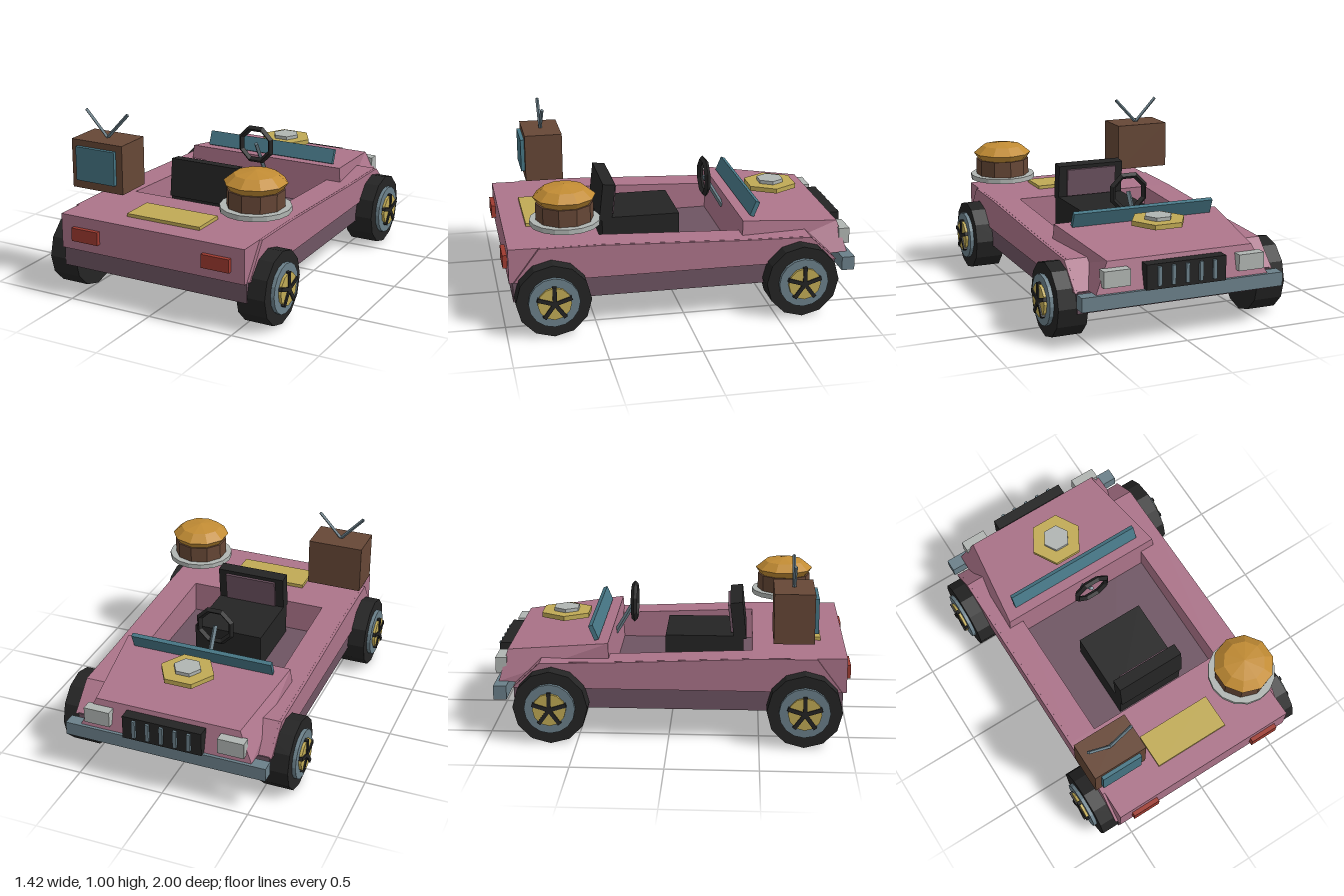
import * as THREE from 'three';

const mat = (name, color) => {
  const m = new THREE.MeshStandardMaterial({ color });
  m.name = name;
  return m;
};

export function createModel() {
  const pink = mat('pink', 0xac748a), mauve = mat('mauve', 0x6e5462), black = mat('black', 0x242424);
  const steel = mat('steel', 0x6b808a), gold = mat('gold', 0xc0aa55), silver = mat('silver', 0xb0b5b2);
  const teal = mat('teal', 0x467685), brown = mat('brown', 0x664736), bun = mat('bun', 0xc28c34), red = mat('red', 0x9f3b30);

  const car = new THREE.Group();
  car.name = 'car';

  // Faceted mesh
  const add = (name, geo, material, pos = [0, 0, 0], parent = car) => {
    const g = geo.index ? geo.toNonIndexed() : geo;
    g.computeVertexNormals();
    const m = new THREE.Mesh(g, material);
    m.name = name;
    m.position.set(...pos);
    parent.add(m);
    return m;
  };
  // Box from its limits on each axis
  const box = (name, material, [x0, x1], [y0, y1], [z0, z1], parent = car) =>
    add(name, new THREE.BoxGeometry(x1 - x0, y1 - y0, z1 - z0), material,
      [(x0 + x1) / 2, (y0 + y1) / 2, (z0 + z1) / 2], parent);
  // Side profile of [z, y] points, extruded from x0 to x1
  const slab = (name, material, pts, x0, x1) => {
    const s = new THREE.Shape(pts.map(p => new THREE.Vector2(...p)));
    const g = new THREE.ExtrudeGeometry(s, { depth: x1 - x0, bevelEnabled: false });
    g.rotateY(-Math.PI / 2);
    return add(name, g, material, [x1, 0, 0]);
  };
  // Thin bar between two points
  const bar = (name, material, a, b, r, parent = car) => {
    const p = new THREE.Vector3(...a), d = new THREE.Vector3(...b).sub(p);
    const m = add(name, new THREE.CylinderGeometry(r, r, d.length(), 4), material,
      p.clone().addScaledVector(d, 0.5).toArray(), parent);
    m.quaternion.setFromUnitVectors(new THREE.Vector3(0, 1, 0), d.normalize());
    return m;
  };

  // Body
  box('chassis', mauve, [-0.565, 0.565], [0.175, 0.29], [-0.855, 0.955]);
  slab('rearDeck', pink, [[0.975, 0.285], [0.975, 0.48], [0.46, 0.475], [0.46, 0.285]], -0.565, 0.565);
  const side = [[0.46, 0.285], [0.46, 0.475], [-0.33, 0.442], [-0.71, 0.432], [-0.855, 0.295]];
  const fender = [[0.95, 0.29], [0.81, 0.478], [0.46, 0.474], [-0.33, 0.441], [-0.71, 0.431], [-0.86, 0.29]];
  slab('leftSide', pink, side, 0.415, 0.565);
  slab('rightSide', pink, side, -0.565, -0.415);
  slab('leftFender', pink, fender, 0.565, 0.58);
  slab('rightFender', pink, fender, -0.58, -0.565);

  // Hood: a box whose corners are moved to taper and slope
  const hoodGeo = new THREE.BoxGeometry(2, 2, 2);
  const hp = hoodGeo.attributes.position;
  for (let i = 0; i < hp.count; i++) {
    const top = hp.getY(i) > 0, back = hp.getZ(i) > 0;
    const [w, y, z] = back
      ? (top ? [0.495, 0.525, -0.338] : [0.52, 0.288, -0.325])
      : (top ? [0.42, 0.46, -0.908] : [0.5, 0.297, -0.95]);
    hp.setXYZ(i, Math.sign(hp.getX(i)) * w, y, z);
  }
  add('hood', hoodGeo, pink);

  // Nose
  box('bumper', steel, [-0.585, 0.585], [0.22, 0.298], [-0.968, -0.895]);
  box('grille', black, [-0.23, 0.23], [0.3, 0.438], [-0.985, -0.92]);
  for (let i = -2; i <= 2; i++)
    box('grilleSlat', steel, [i * 0.08 - 0.01, i * 0.08 + 0.01], [0.32, 0.425], [-1, -0.98]);
  for (const s of [-1, 1]) {
    box('headlight', silver, [s * 0.39 - 0.075, s * 0.39 + 0.075], [0.335, 0.425], [-0.972, -0.91]);
    box('tailLight', red, [s * 0.403 - 0.083, s * 0.403 + 0.083], [0.343, 0.418], [0.97, 1]);
  }

  // Hexagonal hood badge and deck plate
  const hex = (name, m, r, y0, y1) => {
    const g = new THREE.CylinderGeometry(r, r, y1 - y0, 6);
    g.rotateY(Math.PI / 6);
    add(name, g, m, [0, (y0 + y1) / 2, -0.625]);
  };
  hex('badgeBase', gold, 0.157, 0.55, 0.577);
  hex('badgeTop', silver, 0.08, 0.577, 0.597);
  box('deckPlate', gold, [-0.225, 0.225], [0.47, 0.497], [0.645, 0.845]);

  // Windshield
  add('windshield', new THREE.BoxGeometry(0.84, 0.088, 0.025), teal, [0, 0.562, -0.425]).rotation.x = -0.4;

  // Steering wheel and column
  const rim = new THREE.TorusGeometry(0.103, 0.018, 4, 8);
  rim.rotateZ(Math.PI / 8);
  add('steeringWheel', rim, black, [0, 0.632, -0.225]);
  bar('steeringColumn', steel, [0, 0.635, -0.225], [0, 0.44, -0.34], 0.014);

  // Seat
  box('seatBase', black, [-0.205, 0.205], [0.29, 0.49], [-0.035, 0.41]);
  const back = new THREE.Group();
  back.name = 'seatBack';
  back.position.set(0, 0.47, 0.39);
  back.rotation.x = -0.11;
  car.add(back);
  box('backrest', black, [-0.205, 0.205], [0, 0.217], [-0.035, 0.037], back);
  box('backrestPanel', mauve, [-0.155, 0.155], [0.03, 0.195], [-0.05, -0.035], back);

  // Wheels, built facing +x and turned round for the other side
  const disc = (name, m, r, x0, x1, n, parent) => {
    const g = new THREE.CylinderGeometry(r, r, x1 - x0, n);
    g.rotateZ(-Math.PI / 2);
    add(name, g, m, [(x0 + x1) / 2, 0, 0], parent);
  };
  for (const s of [-1, 1]) for (const z of [0.745, -0.643]) {
    const wheel = new THREE.Group();
    wheel.name = 'wheel';
    wheel.position.set(0, 0.206, z);
    if (s < 0) wheel.rotation.y = Math.PI;
    car.add(wheel);
    disc('tyre', black, 0.206, 0.5, 0.667, 12, wheel);
    disc('rim', steel, 0.14, 0.66, 0.688, 16, wheel);
    disc('hub', gold, 0.092, 0.68, 0.703, 12, wheel);
    for (let i = 0; i < 5; i++) {
      const g = new THREE.BoxGeometry(0.02, 0.098, 0.022);
      g.translate(0.7, 0.049, 0);
      g.rotateX(i * Math.PI * 2 / 5);
      add('spoke', g, black, [0, 0, 0], wheel);
    }
  }

  // Television with antenna
  box('televisionCase', brown, [-0.61, -0.285], [0.573, 0.85], [0.57, 0.79]);
  box('televisionScreen', teal, [-0.572, -0.325], [0.623, 0.815], [0.785, 0.812]);
  for (const x of [-0.583, -0.313])
    bar('antenna', steel, [-0.448, 0.85, 0.68], [x, 0.995, 0.68], 0.01);

  // Burger on a plate
  const burger = new THREE.Group();
  burger.name = 'burger';
  burger.position.set(0.458, 0, 0.652);
  car.add(burger);
  add('plate', new THREE.CylinderGeometry(0.193, 0.193, 0.028, 16), silver, [0, 0.589, 0], burger);
  add('patty', new THREE.CylinderGeometry(0.158, 0.158, 0.095, 10), brown, [0, 0.65, 0], burger);
  const profile = [[0, 0.695], [0.145, 0.695], [0.172, 0.733], [0.118, 0.777], [0, 0.797]];
  add('topBun', new THREE.LatheGeometry(profile.map(p => new THREE.Vector2(...p)), 10), bun, [0, 0, 0], burger);

  return car;
}
